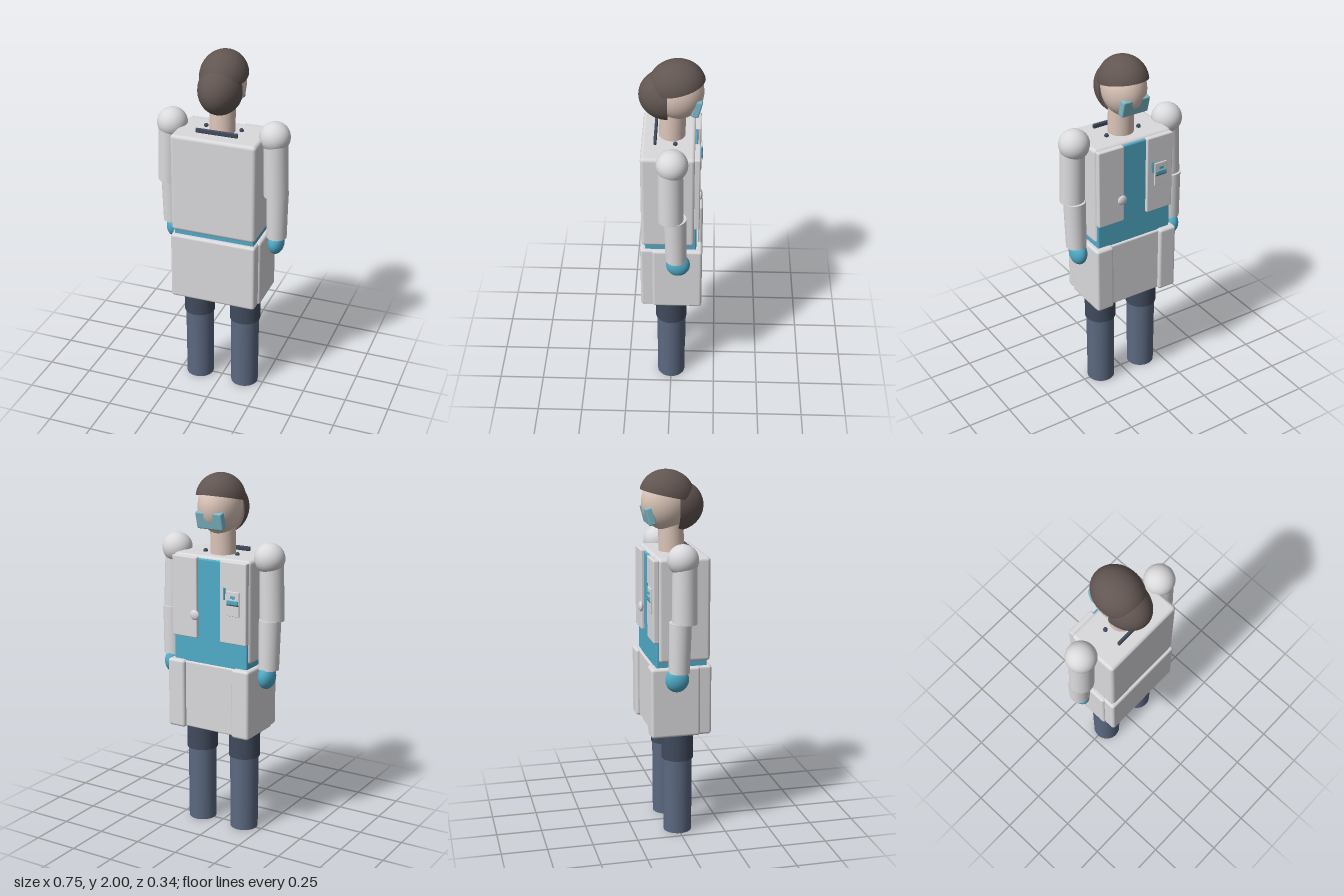
import * as THREE from 'three';
import { RoundedBoxGeometry } from 'three/addons/geometries/RoundedBoxGeometry.js';

export function createModel() {
  const model = new THREE.Group();
  const paint = (name, color, side = THREE.FrontSide) => {
    const m = new THREE.MeshStandardMaterial({ color, side });
    m.name = name;
    return m;
  };
  const coat = paint('coatGrey', 0xdad9dc);
  const teal = paint('teal', 0x50acca);
  const visor = paint('visorTeal', 0x7fbccb);
  const skin = paint('skin', 0xdcc6b9);
  const hair = paint('hairBrown', 0x625652, THREE.DoubleSide);
  const slate = paint('slateBlue', 0x5c6981);
  const navy = paint('darkSlate', 0x414b5d);

  const add = (name, geo, mat, x = 0, y = 0, z = 0) => {
    const mesh = new THREE.Mesh(geo, mat);
    mesh.name = name;
    mesh.position.set(x, y, z);
    model.add(mesh);
    return mesh;
  };
  // Rounded box given by its lower and upper bounds
  const box = (name, mat, x0, x1, y0, y1, z0, z1, r = 0.015) =>
    add(name, new RoundedBoxGeometry(x1 - x0, y1 - y0, z1 - z0, 2, r), mat,
      (x0 + x1) / 2, (y0 + y1) / 2, (z0 + z1) / 2);
  const ellipsoid = (name, mat, x, y, z, rx, ry, rz) =>
    add(name, new THREE.SphereGeometry(1, 40, 28).scale(rx, ry, rz), mat, x, y, z);
  // Tapered limb between two points
  const limb = (name, mat, a, b, rTop, rBottom) => {
    const top = new THREE.Vector3(...a), bottom = new THREE.Vector3(...b);
    const axis = top.clone().sub(bottom);
    const mesh = add(name, new THREE.CylinderGeometry(rTop, rBottom, axis.length(), 40), mat);
    mesh.position.copy(top).add(bottom).multiplyScalar(0.5);
    mesh.quaternion.setFromUnitVectors(new THREE.Vector3(0, 1, 0), axis.normalize());
    return mesh;
  };

  // Head and neck; the face looks toward -z
  ellipsoid('head', skin, 0, 1.825, -0.03, 0.115, 0.15, 0.135);
  limb('neck', skin, [0, 1.72, -0.005], [0, 1.54, 0], 0.068, 0.07);

  // Hair: tilted cap and a half ellipsoid at the back
  const cap = add('hairCap',
    new THREE.SphereGeometry(1, 40, 16, 0, Math.PI * 2, 0, Math.PI / 2).scale(0.128, 0.134, 0.149),
    hair, 0, 1.866, -0.025);
  cap.rotation.x = 0.22;
  add('backHair',
    new THREE.SphereGeometry(1, 40, 28, 0, Math.PI).scale(0.119, 0.138, 0.152),
    hair, 0, 1.808, 0.021);

  // Glasses, tilted forward at the top
  const glasses = add('glasses', new RoundedBoxGeometry(0.16, 0.095, 0.04, 2, 0.008), visor, 0, 1.762, -0.129);
  glasses.rotation.x = -0.25;

  // Collar bar and studs
  box('collarBar', navy, -0.118, 0.118, 1.57, 1.595, 0.077, 0.093, 0.006);
  for (const s of [-1, 1]) ellipsoid('collarStud', navy, s * 0.1, 1.57, -0.02, 0.012, 0.013, 0.012);

  // Torso with the shirt under the open coat
  box('torso', coat, -0.24, 0.24, 1.0, 1.565, -0.127, 0.158, 0.02);
  box('shirt', teal, -0.23, 0.23, 0.965, 1.55, -0.137, 0.14, 0.008);
  box('coatFlapLeft', coat, 0.075, 0.232, 1.11, 1.557, -0.153, -0.12, 0.007);
  box('coatFlapRight', coat, -0.232, -0.07, 1.11, 1.557, -0.153, -0.12, 0.007);

  // Button, badge and pen on the flaps
  ellipsoid('button', coat, 0.088, 1.24, -0.153, 0.028, 0.028, 0.013);
  box('badge', coat, -0.192, -0.115, 1.265, 1.4, -0.16, -0.15, 0.003);
  box('badgeBand', teal, -0.187, -0.12, 1.33, 1.352, -0.164, -0.156, 0.002);
  box('badgeClip', teal, -0.166, -0.141, 1.362, 1.378, -0.164, -0.156, 0.002);
  box('badgeEdge', navy, -0.19, -0.117, 1.324, 1.33, -0.162, -0.156, 0.002);
  limb('pen', teal, [-0.1, 1.415, -0.156], [-0.1, 1.35, -0.156], 0.007, 0.005);

  // Coat skirt: back panel, recessed middle and side panels
  box('skirtBack', coat, -0.245, 0.245, 0.585, 0.975, 0.0, 0.165);
  box('skirtMiddle', coat, -0.2, 0.2, 0.59, 0.97, -0.15, 0.1, 0.008);
  for (const s of [-1, 1]) {
    const [x0, x1] = s > 0 ? [0.15, 0.256] : [-0.256, -0.15];
    box('skirtSide', coat, x0, x1, 0.585, 0.975, -0.17, 0.1);
  }

  // Arms and legs, mirrored
  for (const s of [-1, 1]) {
    ellipsoid('shoulder', coat, s * 0.29, 1.567, -0.008, 0.083, 0.083, 0.083);
    limb('upperArm', coat, [s * 0.297, 1.56, 0], [s * 0.306, 1.232, -0.003], 0.065, 0.067);
    limb('forearm', coat, [s * 0.306, 1.24, -0.025], [s * 0.304, 0.967, -0.031], 0.06, 0.056);
    ellipsoid('hand', teal, s * 0.3, 0.926, -0.041, 0.045, 0.068, 0.064);
    limb('trouserLeg', navy, [s * 0.138, 0.61, 0], [s * 0.138, 0.43, 0], 0.088, 0.087);
    limb('lowerLeg', slate, [s * 0.138, 0.45, 0], [s * 0.138, 0, 0], 0.08, 0.078);
  }
  return model;
}
